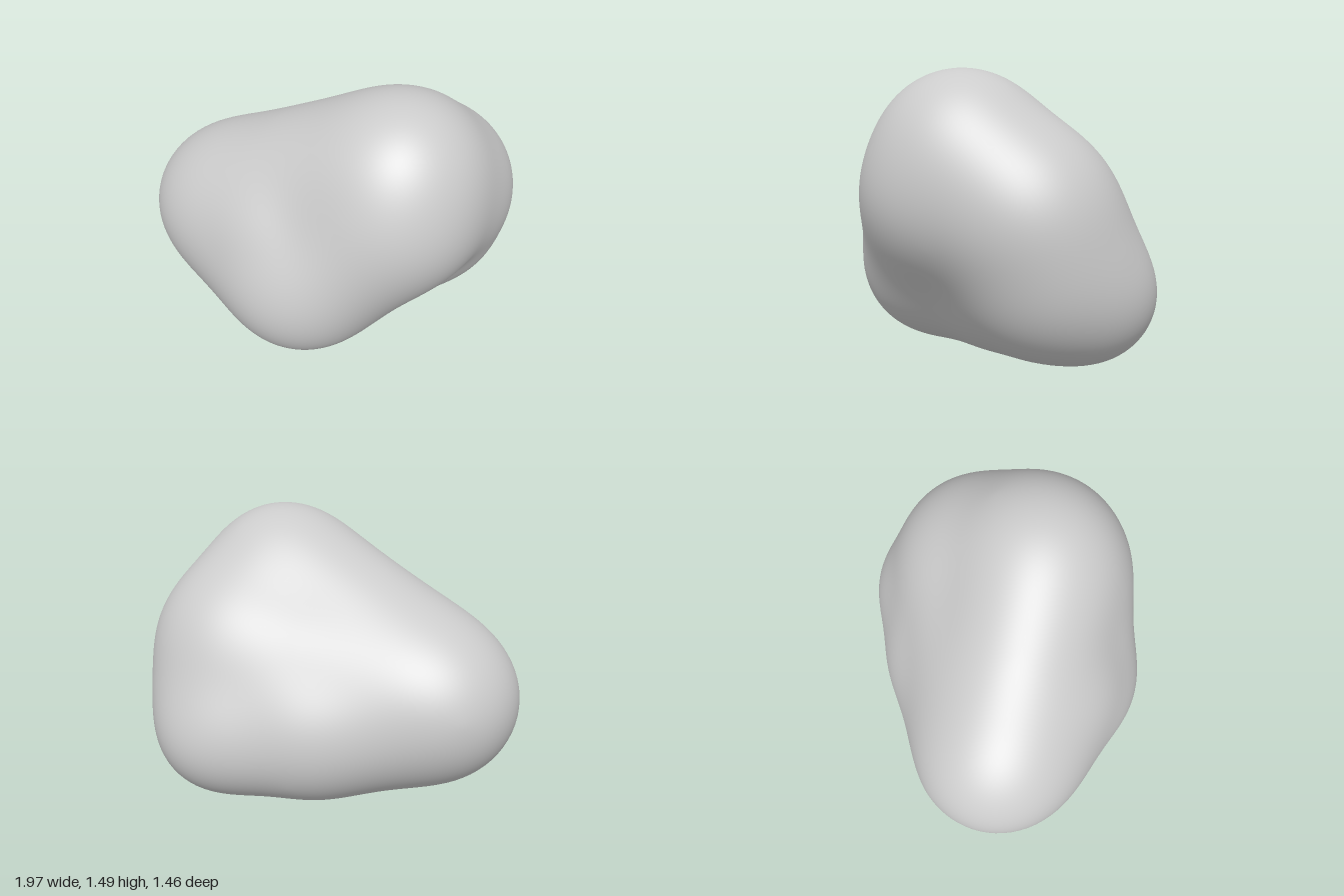
import * as THREE from 'three';
import { mergeVertices } from 'three/addons/utils/BufferGeometryUtils.js';

// Bulges of the boulder: x, y, z, radius
const LOBES = {
  left:      [-0.57, 0.58, -0.12, 0.43],
  frontLow:  [-0.12, 0.42, 0.33, 0.40],
  frontFace: [-0.22, 0.72, 0.21, 0.36],
  top:       [0.37, 1.07, 0.22, 0.43],
  shoulder:  [0.36, 0.88, 0.29, 0.42],
  side:      [0.56, 0.79, -0.09, 0.43],
  sideLow:   [0.58, 0.48, -0.18, 0.40],
  backLow:   [0.56, 0.38, -0.40, 0.335],
  back:      [0.05, 0.44, -0.29, 0.395],
  belly:     [-0.25, 0.42, 0.08, 0.41],
  under:     [0.25, 0.38, 0.00, 0.33],
  core:      [0.30, 0.64, 0.10, 0.37],
};

// Slabs stretched between three bulges
const SLABS = [
  // sloping back
  ['top', 'side', 'left'], ['side', 'backLow', 'back'], ['side', 'back', 'left'],
  // front left face
  ['frontLow', 'frontFace', 'left'], ['frontLow', 'shoulder', 'left'],
  ['shoulder', 'top', 'left'], ['shoulder', 'top', 'side'],
  // bottom
  ['frontLow', 'left', 'belly'], ['belly', 'back', 'left'],
  ['frontLow', 'under', 'belly'], ['under', 'belly', 'back'], ['under', 'backLow', 'back'],
  // hollow right face
  ['core', 'under', 'side'], ['under', 'side', 'sideLow'], ['under', 'sideLow', 'backLow'],
  ['side', 'sideLow', 'backLow'], ['core', 'shoulder', 'side'],
  ['core', 'frontLow', 'under'], ['core', 'frontLow', 'shoulder'],
];

const BLEND = 0.03, SHRINK = 0.008, STEPS = 8, SMOOTHING = 20;

// Balls at the bulges, along the slab edges and over the slabs, weighted by spacing
function makeBalls() {
  const balls = Object.values(LOBES).map((lobe) => [...lobe, 0.4]);
  const edges = new Set();
  const point = ([x, y, z]) => new THREE.Vector3(x, y, z);

  for (const names of SLABS) {
    names.forEach((n, i) => edges.add([n, names[(i + 1) % 3]].sort().join()));
    const [a, b, c] = names.map((n) => LOBES[n]);
    const area = new THREE.Triangle(point(a), point(b), point(c)).getArea();
    const share = area * 2 / ((STEPS + 1) * (STEPS + 2));
    for (let i = 0; i <= STEPS; i++) {
      for (let j = 0; j <= STEPS - i; j++) {
        const u = i / STEPS, v = j / STEPS, w = 1 - u - v;
        const ball = a.map((_, k) => a[k] * u + b[k] * v + c[k] * w);
        balls.push([...ball, share / (2 * Math.PI * ball[3] * BLEND)]);
      }
    }
  }

  for (const edge of edges) {
    const [a, b] = edge.split(',').map((n) => LOBES[n]);
    const share = point(a).distanceTo(point(b)) / STEPS;
    for (let i = 0; i < STEPS; i++) {
      const ball = a.map((_, k) => THREE.MathUtils.lerp(a[k], b[k], (i + 0.5) / STEPS));
      balls.push([...ball, 0.9 * share / Math.sqrt(2 * Math.PI * ball[3] * BLEND)]);
    }
  }
  return balls;
}

// Soft union of the balls
function isInside(balls, p) {
  let sum = 0;
  for (const [x, y, z, r, weight] of balls) {
    const dx = p.x - x, dy = p.y - y, dz = p.z - z;
    const d = Math.sqrt(dx * dx + dy * dy + dz * dz) - (r - SHRINK);
    sum += weight * Math.exp(-d / BLEND);
  }
  return sum > 1;
}

// Move every point to the average of its neighbours
function relax(geo) {
  const pos = geo.attributes.position.array, index = geo.index.array;
  const sum = new Float32Array(pos.length), count = new Float32Array(pos.length / 3);
  for (let i = 0; i < index.length; i++) {
    const from = index[i], to = index[i % 3 === 2 ? i - 2 : i + 1];
    for (let k = 0; k < 3; k++) sum[to * 3 + k] += pos[from * 3 + k];
    count[to]++;
  }
  for (let i = 0; i < pos.length; i++) pos[i] = (pos[i] + sum[i] / count[Math.floor(i / 3)]) / 2;
}

function boulderGeometry() {
  let geo = new THREE.IcosahedronGeometry(1, 30);
  geo.deleteAttribute('uv');
  geo.deleteAttribute('normal');
  geo = mergeVertices(geo, 1e-4);

  // Push each point of the sphere out to the blended surface
  const balls = makeBalls();
  const origin = new THREE.Vector3(0.1, 0.65, 0);
  const pos = geo.attributes.position;
  const dir = new THREE.Vector3(), p = new THREE.Vector3();
  for (let i = 0; i < pos.count; i++) {
    dir.fromBufferAttribute(pos, i).normalize();
    let near = 0.1, far = 1.5;
    for (let n = 0; n < 13; n++) {
      const mid = (near + far) / 2;
      p.copy(origin).addScaledVector(dir, mid);
      if (isInside(balls, p)) near = mid; else far = mid;
    }
    pos.setXYZ(i, p.x, p.y, p.z);
  }
  for (let n = 0; n < SMOOTHING; n++) relax(geo);

  // Centre it and stand it on the ground
  geo.computeBoundingBox();
  const centre = geo.boundingBox.getCenter(new THREE.Vector3());
  geo.translate(-centre.x, -geo.boundingBox.min.y, -centre.z);
  geo.computeVertexNormals();
  return geo;
}

export function createModel() {
  const group = new THREE.Group();
  group.name = 'rock';
  const boulder = new THREE.Mesh(
    boulderGeometry(),
    new THREE.MeshStandardMaterial({ color: 0xcccccc }),
  );
  boulder.name = 'boulder';
  group.add(boulder);
  return group;
}
